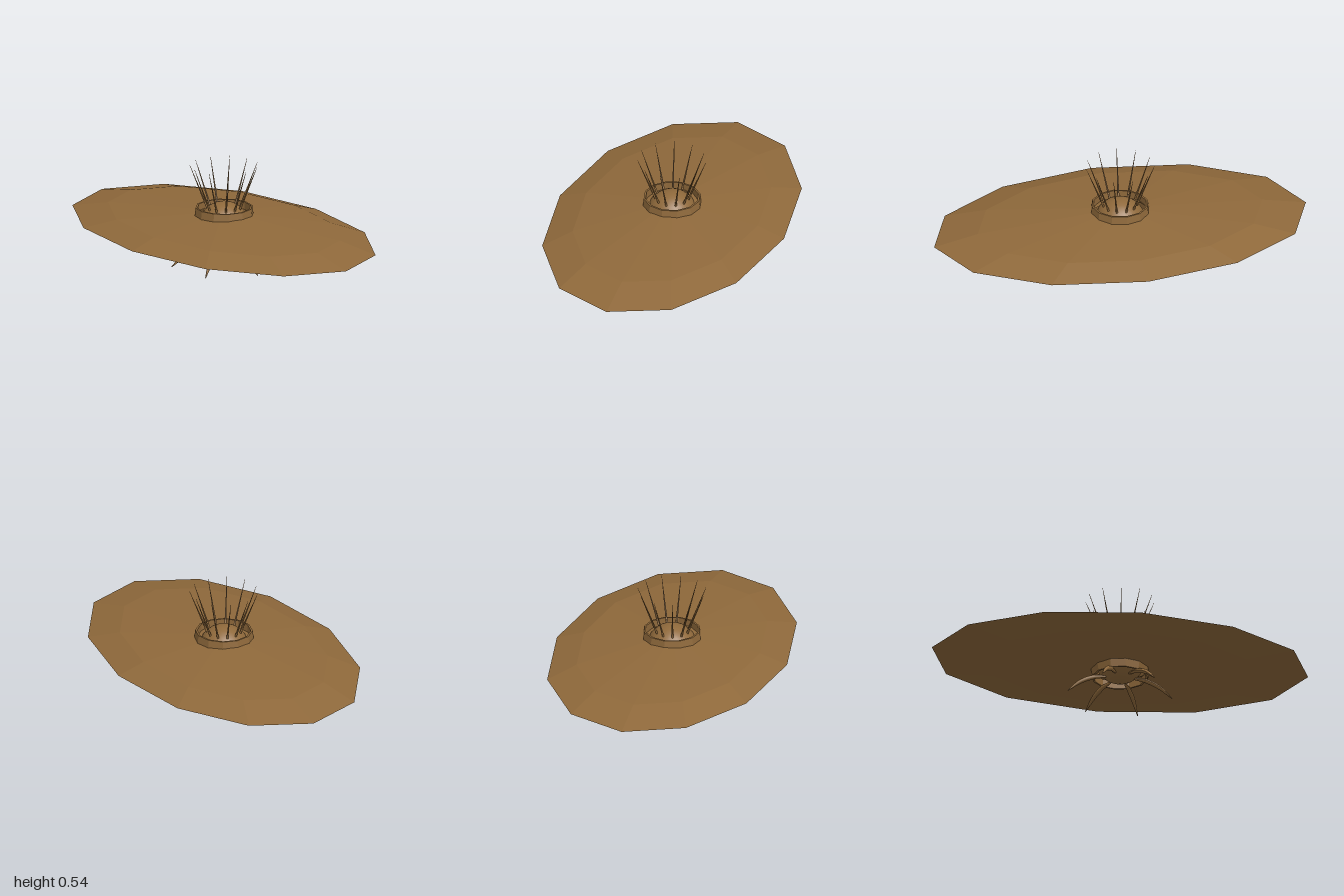
import * as THREE from 'three';

const bronze = new THREE.MeshStandardMaterial({ color: 0x8f693b });

// Lathe profile with twelve flat-faced sides
function facetedLathe(profile, sides = 12) {
  const points = profile.map(([r, y]) => new THREE.Vector2(r, y));
  return new THREE.LatheGeometry(points, sides);
}

function flat(geometry) {
  const g = geometry.toNonIndexed();
  g.computeVertexNormals();
  return g;
}

function part(name, geometry) {
  const mesh = new THREE.Mesh(geometry, bronze);
  mesh.name = name;
  return mesh;
}

// Round limb that follows a curve, its radius given by a rule along the length
function taperedLimb(curve, radiusAt, segments = 12, sides = 8) {
  const g = new THREE.TubeGeometry(curve, segments, 1, sides);
  const pos = g.attributes.position;
  const v = new THREE.Vector3();
  for (let i = 0; i <= segments; i++) {
    const c = curve.getPointAt(i / segments);
    for (let j = 0; j <= sides; j++) {
      const k = i * (sides + 1) + j;
      v.fromBufferAttribute(pos, k).sub(c).multiplyScalar(radiusAt(i / segments)).add(c);
      pos.setXYZ(k, v.x, v.y, v.z);
    }
  }
  g.computeVertexNormals();
  return g;
}

export function createModel() {
  const model = new THREE.Group();
  model.name = 'saucer';

  // Broad oval hull with a sharp rim
  const hull = facetedLathe([[0.14, 0.138], [0.72, 0.158], [1, 0.19], [0.765, 0.238], [0.14, 0.283]]);
  hull.scale(1, 1, 0.623);
  model.add(part('hull', flat(hull)));

  // Hollow collar running through the hull
  model.add(part('collar', flat(facetedLathe([
    [0.138, 0.1], [0.148, 0.1], [0.155, 0.14], [0.155, 0.28],
    [0.15, 0.318], [0.14, 0.318], [0.138, 0.1],
  ]))));

  // Round core showing above and below the collar
  const core = part('core', new THREE.SphereGeometry(0.135, 24, 16));
  core.position.y = 0.21;
  model.add(core);

  // Ring of thin antennae leaning outward
  const antennae = new THREE.Group();
  antennae.name = 'antennae';
  const count = 11;
  const up = new THREE.Vector3(0, 1, 0);
  for (let i = 0; i < count; i++) {
    const a = (i / count) * Math.PI * 2;
    const base = new THREE.Vector3(0.085 * Math.cos(a), 0.305, 0.085 * Math.sin(a));
    const tip = new THREE.Vector3(0.18 * Math.cos(a), 0.545, 0.18 * Math.sin(a));
    const dir = tip.clone().sub(base);
    const spike = part('antenna', new THREE.CylinderGeometry(0.0008, 0.006, dir.length(), 6));
    spike.position.copy(base).add(tip).multiplyScalar(0.5);
    spike.quaternion.setFromUnitVectors(up, dir.normalize());
    antennae.add(spike);
  }
  model.add(antennae);

  // Six curved legs, pointed at both ends
  const legs = new THREE.Group();
  legs.name = 'legs';
  const path = new THREE.CatmullRomCurve3([
    new THREE.Vector3(0.075, 0.1, 0), new THREE.Vector3(0.14, 0.092, 0),
    new THREE.Vector3(0.21, 0.061, 0), new THREE.Vector3(0.278, 0.003, 0),
  ]);
  const legGeometry = taperedLimb(path, t => 0.002 + 0.0105 * Math.sin(Math.PI * (0.12 + 0.88 * t)));
  for (let i = 0; i < 6; i++) {
    const leg = part('leg', legGeometry);
    leg.rotation.y = (i * Math.PI) / 3;
    legs.add(leg);
  }
  model.add(legs);

  return model;
}
